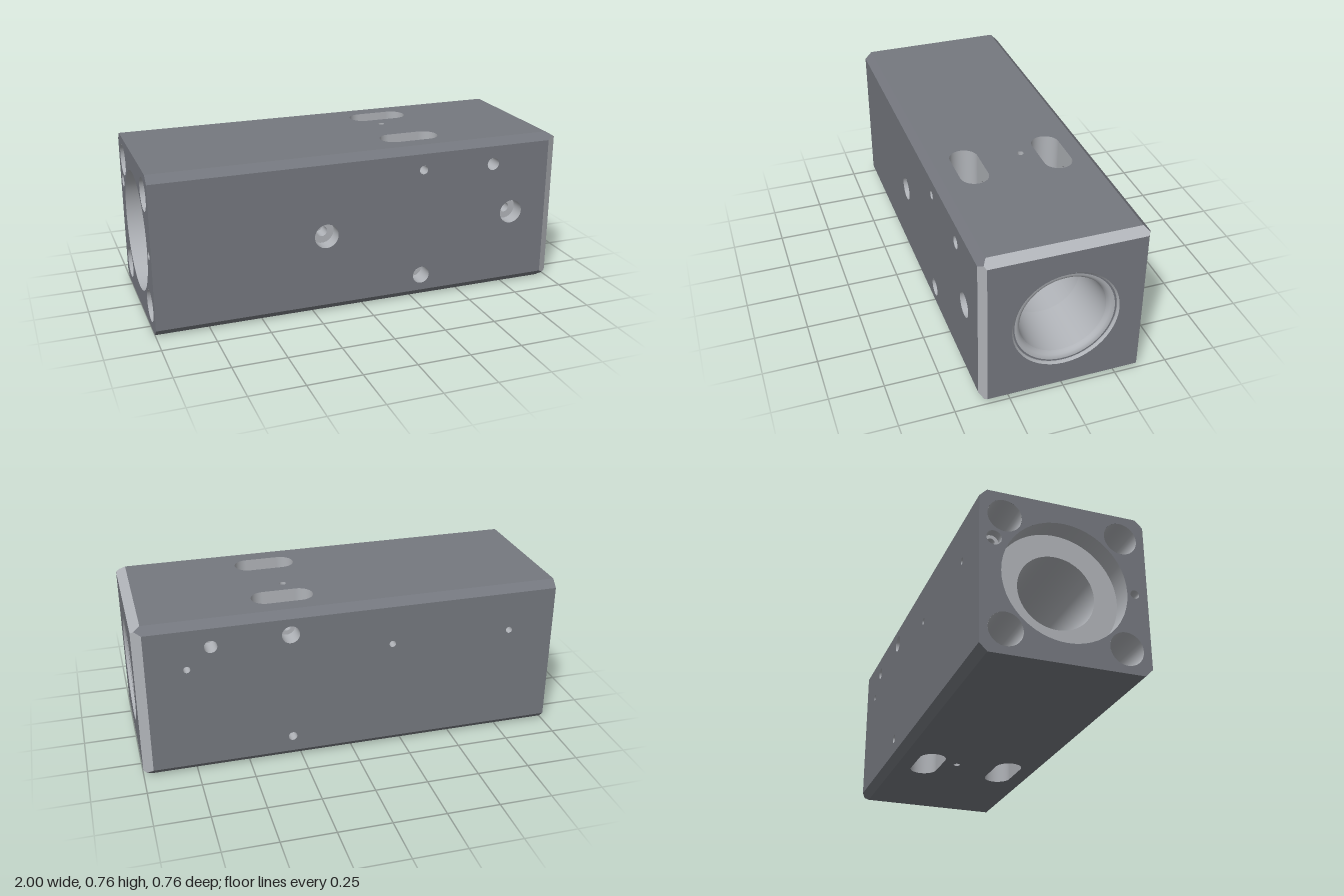
import * as THREE from 'three';
import { mergeGeometries } from 'three/addons/utils/BufferGeometryUtils.js';

const H = 0.38, C = 0.345;           // half height/width, half width of the flat sides
const XE = 0.955, E = 0.353;         // start of the end bevel, half width of the end face
const R = 0.177, BORE_L = -0.9, BORE_R = 0.72;
const SLOT = { x1: 0.213, x2: 0.371, z: 0.2, w: 0.066 };
const CROSS = { x: 0.294, y: 0.267, r: 0.021 };
const coated = new THREE.MeshStandardMaterial({ color: 0x75787f, side: THREE.DoubleSide });
const machined = new THREE.MeshStandardMaterial({ color: 0xb0b3b8, side: THREE.DoubleSide });

function add(parent, geometry, name, material = machined) {
  const mesh = new THREE.Mesh(geometry, material);
  mesh.name = name;
  parent.add(mesh);
  return mesh;
}

// Surface of revolution with a crisp edge at every profile point; [radius, height]
function revolve(profile, segments = 40) {
  const rings = [];
  for (let i = 0; i + 1 < profile.length; i++) {
    const pair = [profile[i], profile[i + 1]].map(p => new THREE.Vector2(...p));
    rings.push(new THREE.LatheGeometry(pair, segments));
  }
  return mergeGeometries(rings);
}

// Smooth band between two rows of points
function strip(a, b) {
  const g = new THREE.BufferGeometry(), index = [];
  g.setAttribute('position', new THREE.Float32BufferAttribute([...a, ...b].flat(), 3));
  for (let i = 0, n = a.length; i + 1 < n; i++) index.push(i, i + 1, n + i, i + 1, n + i + 1, n + i);
  g.setIndex(index);
  g.computeVertexNormals();
  return g;
}

// Flat convex polygon
function polygon(pts) {
  const g = new THREE.BufferGeometry(), index = [];
  g.setAttribute('position', new THREE.Float32BufferAttribute(pts.flat(), 3));
  for (let i = 1; i + 1 < pts.length; i++) index.push(0, i, i + 1);
  g.setIndex(index);
  g.computeVertexNormals();
  return g;
}

function circle(x, y, r) {
  return new THREE.Path().absarc(x, y, r, 0, Math.PI * 2, true);
}

function rectangle(x1, y1, x2, y2) {
  return new THREE.Shape([[x1, y1], [x2, y1], [x2, y2], [x1, y2]].map(p => new THREE.Vector2(...p)));
}

// Flat face at distance d in local z, with drilled holes: { x, y, steps: [[radius, depth], ...], open }
function face(name, outline, d, holes = [], cutouts = []) {
  const group = new THREE.Group();
  group.name = name;
  outline.holes.push(...cutouts, ...holes.map(h => circle(h.x, h.y, h.steps[0][0])));
  add(group, new THREE.ShapeGeometry(outline, 24), name + 'Surface', coated).position.z = d;
  for (const h of holes) {
    const profile = [];
    let depth = 0;
    for (const [r, to] of h.steps) {
      profile.push([r, -depth], [r, -to]);
      depth = to;
    }
    if (!h.open) profile.push([0, -depth]);
    const g = revolve(profile, 32).rotateX(Math.PI / 2);
    add(group, g, 'drilledHole').position.set(h.x, h.y, d);
  }
  return group;
}

function slotPath(z) {
  const p = new THREE.Path();
  p.absarc(SLOT.x2, z, SLOT.w, -Math.PI / 2, Math.PI / 2, false);
  p.absarc(SLOT.x1, z, SLOT.w, Math.PI / 2, Math.PI * 1.5, false);
  p.closePath();
  return p;
}

export function createModel() {
  const model = new THREE.Group();
  model.name = 'boredBlock';
  const body = new THREE.Group();
  body.name = 'body';
  body.position.y = H;
  model.add(body);

  // Four long sides, each turned about the x axis
  const side = (name, angle, holes, cutouts) => {
    const f = face(name, rectangle(-1, -C, XE, C), H, holes, cutouts);
    f.rotation.x = angle;
    body.add(f);
  };
  const reach = H - SLOT.z - SLOT.w; // depth from a side to the slot
  const screw = x => ({ x, y: 0, steps: [[0.058, 0.07], [0.025, 0.14]] });
  const plain = y => ({ x: CROSS.x, y, steps: [[CROSS.r, reach]], open: true });
  const sunk = y => ({ x: CROSS.x, y, steps: [[0.042, 0.09], [CROSS.r, reach]], open: true });
  const blind = (x, y, r, depth) => ({ x, y, steps: [[r, depth]] });
  side('frontFace', 0, [screw(-0.189), screw(0.768), blind(0.658, 0.256, 0.03, 0.1),
    plain(CROSS.y), sunk(-CROSS.y)]);
  side('backFace', Math.PI, [blind(0.658, -0.256, 0.03, 0.1), blind(0.77, -0.156, 0.016, 0.1),
    blind(-0.19, -0.156, 0.016, 0.1), blind(-0.775, -0.153, 0.016, 0.1),
    sunk(-CROSS.y), plain(CROSS.y)]);
  const slots = () => [slotPath(SLOT.z), slotPath(-SLOT.z)];
  side('topFace', -Math.PI / 2, [blind(0.257, 0.06, 0.016, 0.2)], slots());
  side('bottomFace', Math.PI / 2, [blind(0.257, -0.06, 0.016, 0.2)], slots());

  // Left end: octagon with the counterbore and bolt holes
  const oct = [[-C, -H], [C, -H], [H, -C], [H, C], [C, H], [-C, H], [-H, C], [-H, -C]];
  const bolts = [];
  for (const a of [-0.267, 0.267]) for (const b of [-0.267, 0.267]) bolts.push(blind(a, b, 0.077, 0.25));
  bolts.push({ x: -0.315, y: 0.15, steps: [[0.034, 0.04], [0.018, 0.12]] }, blind(0.32, 0, 0.02, 0.1));
  const left = face('leftEnd', new THREE.Shape(oct.map(p => new THREE.Vector2(...p))), 1, bolts,
    [circle(0, 0, 0.285)]);
  left.rotation.y = -Math.PI / 2;
  body.add(left);

  // Right end
  const right = face('rightEnd', rectangle(-E, -E, E, E), 1, [], [circle(0, 0, 0.245)]);
  right.rotation.y = Math.PI / 2;
  body.add(right);

  // Long edge chamfers and the bevels round the right end
  const m = (H + C) / 2, xm = XE + (1 - XE) * (H - m) / (H - E);
  for (let i = 0; i < 4; i++) {
    const turn = i * Math.PI / 2;
    add(body, polygon([[-1, C, H], [-1, H, C], [XE, H, C], [xm, m, m], [XE, C, H]]),
      'edgeChamfer', coated).rotation.x = turn;
    add(body, polygon([[XE, -C, H], [xm, -m, m], [1, -E, E], [1, E, E], [xm, m, m], [XE, C, H]]),
      'endBevel').rotation.x = turn;
  }

  // Bore: stepped mouth on the left, long taper and rounded lip on the right
  const along = g => g.rotateZ(-Math.PI / 2);
  add(body, along(revolve([[0.285, -1], [0.285, BORE_L], [R, BORE_L]], 80)), 'leftCounterbore');
  add(body, along(revolve([[R, BORE_R], [0.2, 0.96]], 80)), 'taperedBore');
  const lip = [[0.2, 0.96], [0.203, 0.971], [0.21, 0.98], [0.219, 0.985], [0.229, 0.986]];
  add(body, along(new THREE.LatheGeometry(lip.map(p => new THREE.Vector2(...p)), 80)), 'roundedLip');
  add(body, along(revolve([[0.229, 0.986], [0.237, 0.986]], 80)), 'mouthGroove', coated);
  add(body, along(revolve([[0.237, 0.986], [0.237, 0.992], [0.245, 1]], 80)), 'mouthRim');

  // Bore: middle length, opened where the slots run into it
  const inner = SLOT.z - SLOT.w, outer = SLOT.z + SLOT.w;
  const a = Math.asin(inner / R);
  const row = (from, to, xAt) => Array.from({ length: 33 }, (_, i) => {
    const t = from + (to - from) * i / 32, y = R * Math.cos(t), z = R * Math.sin(t);
    return [xAt(Math.abs(z)), y, z];
  });
  const bulge = z => Math.sqrt(Math.max(0, SLOT.w ** 2 - (z - SLOT.z) ** 2));
  for (const o of [0, Math.PI]) {
    add(body, strip(row(o - a, o + a, () => BORE_L), row(o - a, o + a, () => BORE_R)), 'boreWall');
    const f = o + a, t = o + Math.PI - a;
    add(body, strip(row(f, t, () => BORE_L), row(f, t, z => SLOT.x1 - bulge(z))), 'boreWall');
    add(body, strip(row(f, t, z => SLOT.x2 + bulge(z)), row(f, t, () => BORE_R)), 'boreWall');
  }

  // Slot walls: round ends, and straight sides pierced by the cross holes
  const wall = (y1, y2, z, holeYs) => {
    const s = rectangle(SLOT.x1, y1, SLOT.x2, y2);
    s.holes.push(...holeYs.map(y => circle(CROSS.x, y, CROSS.r)));
    add(body, new THREE.ShapeGeometry(s, 24), 'slotSide').position.z = z;
  };
  const edge = Math.sqrt(R * R - inner * inner);
  for (const s of [-1, 1]) {
    wall(-H, H, s * outer, [CROSS.y, -CROSS.y]);
    wall(edge, H, s * inner, [CROSS.y]);
    wall(-H, -edge, s * inner, [-CROSS.y]);
    for (const v of [-1, 1]) for (const e of [-1, 1]) {
      const top = [], low = [];
      for (let i = 0; i <= 48; i++) {
        const t = -Math.PI / 2 + Math.PI * i / 48;
        const x = (e > 0 ? SLOT.x2 : SLOT.x1) + e * SLOT.w * Math.cos(t);
        const z = SLOT.z + SLOT.w * Math.sin(t);
        top.push([x, v * H, s * z]);
        low.push([x, v * Math.sqrt(Math.max(0, R * R - z * z)), s * z]);
      }
      add(body, strip(top, low), 'slotEnd');
    }
    // Cross hole between the two slots
    const tube = new THREE.CylinderGeometry(CROSS.r, CROSS.r, 2 * inner, 32, 1, true).rotateX(Math.PI / 2);
    add(body, tube, 'crossHole').position.set(CROSS.x, s * CROSS.y, 0);
  }
  return model;
}
